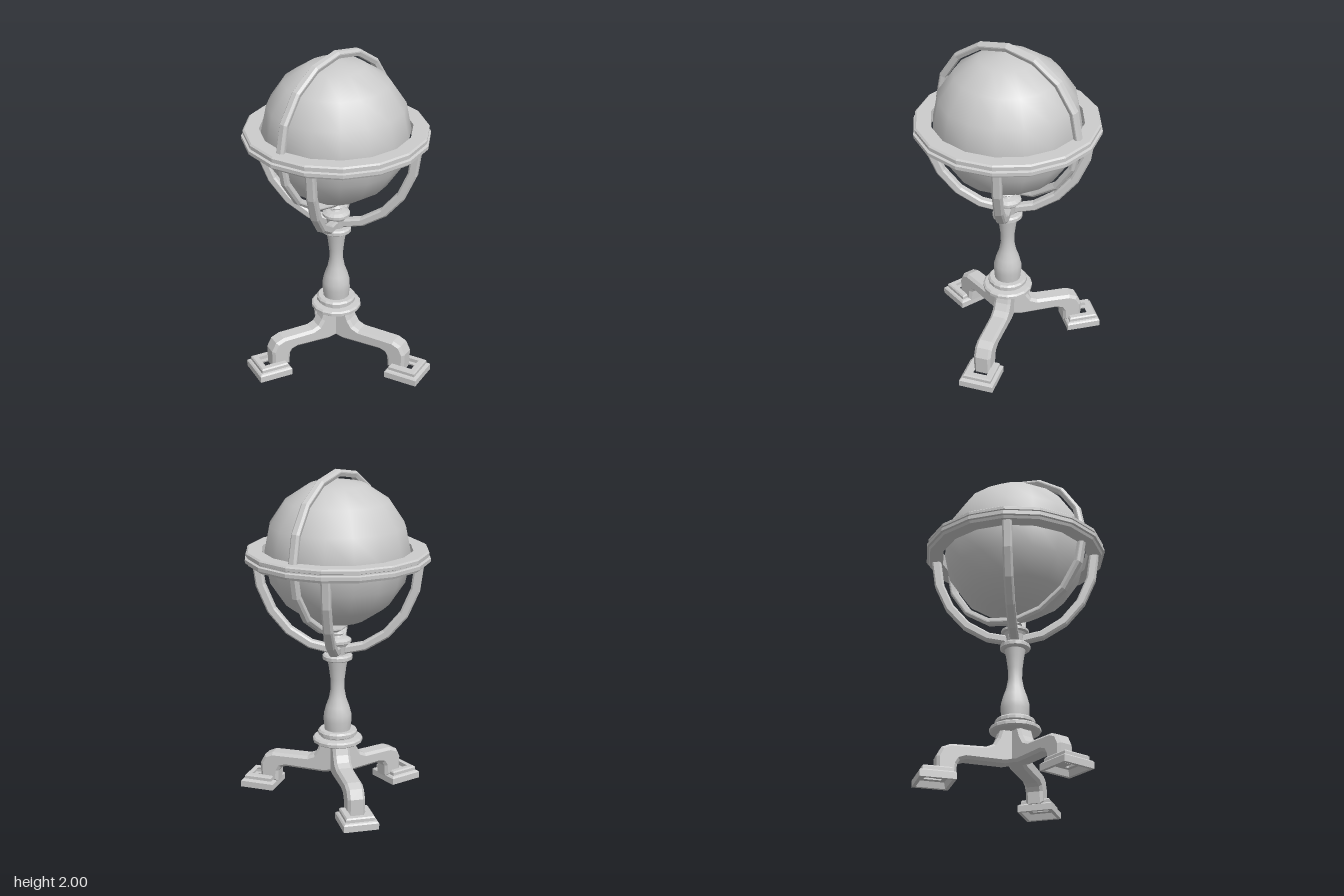
import * as THREE from 'three';

const rad = THREE.MathUtils.degToRad;
const flat = new THREE.MeshStandardMaterial({ color: 0xcccccc, flatShading: true, side: THREE.DoubleSide });
const smooth = new THREE.MeshStandardMaterial({ color: 0xcccccc });
const SIDES = 16;
const MERIDIAN_ANGLE = rad(36.5);
const GLOBE_Y = 1.515;

function lathe(points, sides = SIDES) {
  return new THREE.LatheGeometry(points.map(([r, y]) => new THREE.Vector2(r, y)), sides);
}

function add(parent, name, geometry, material = flat) {
  const mesh = new THREE.Mesh(geometry, material);
  mesh.name = name;
  parent.add(mesh);
  return mesh;
}

// Bar cut from a side outline (radius, height), with chamfered edges, centred on its width
function bar(points, width, chamfer) {
  const shape = new THREE.Shape(points.map(([r, y]) => new THREE.Vector2(r, y)));
  const depth = width - 2 * chamfer;
  const geometry = new THREE.ExtrudeGeometry(shape, {
    depth, bevelThickness: chamfer, bevelSize: chamfer, bevelOffset: -chamfer, bevelSegments: 1,
  });
  return geometry.translate(0, 0, -depth / 2);
}

export function createModel() {
  const model = new THREE.Group();
  model.name = 'globeOnStand';
  const body = new THREE.Group();
  body.name = 'body';
  body.position.set(0.005, 0, 0.02);
  model.add(body);

  // Globe
  const globe = add(body, 'globe', new THREE.SphereGeometry(0.432, 16, 8), smooth);
  globe.position.y = GLOBE_Y;
  globe.rotation.y = MERIDIAN_ANGLE;

  // Upright meridian ring with a stepped rim
  const meridian = add(body, 'meridianRing', lathe([
    [0.445, -0.02], [0.465, -0.027], [0.472, -0.027], [0.485, -0.015],
    [0.485, 0.015], [0.472, 0.027], [0.465, 0.027], [0.445, 0.02], [0.445, -0.02],
  ]).rotateX(Math.PI / 2));
  meridian.position.y = GLOBE_Y;
  meridian.rotation.y = MERIDIAN_ANGLE;

  // Horizontal ring with a moulded edge
  const horizon = add(body, 'horizonRing', lathe([
    [0.443, 1.46], [0.525, 1.46], [0.532, 1.475], [0.545, 1.478], [0.545, 1.498],
    [0.53, 1.503], [0.53, 1.51], [0.537, 1.513], [0.537, 1.53], [0.527, 1.538],
    [0.443, 1.538], [0.443, 1.46],
  ]));
  horizon.rotation.y = -rad(8.2);

  // Four curved arms carrying the horizontal ring
  const arc = (rx, ry, from, to) => Array.from({ length: 6 }, (_, i) => {
    const t = rad(from + (to - from) * i / 5);
    return [rx * Math.cos(t), 1.47 - ry * Math.sin(t)];
  });
  const armGeometry = bar([...arc(0.508, 0.575, 0, 88), ...arc(0.452, 0.525, 88, 0)], 0.055, 0.01);
  for (let i = 0; i < 4; i++) {
    add(body, 'cradleArm', armGeometry).rotation.y = -rad(29 + 90 * i);
  }

  // Turned column: collars are faceted sharply, the baluster is smooth
  add(body, 'finial', lathe([
    [0.05, 0.89], [0.06, 0.95], [0.068, 0.965], [0.082, 0.972], [0.082, 0.987], [0.06, 1.0],
    [0.035, 1.005], [0.03, 1.015], [0.042, 1.025], [0.025, 1.04], [0, 1.045],
  ]));
  add(body, 'upperCollar', lathe([
    [0, 0.86], [0.078, 0.86], [0.09, 0.868], [0.09, 0.888], [0.08, 0.897], [0, 0.897],
  ]));
  add(body, 'column', lathe([
    [0.078, 0.41], [0.08, 0.44], [0.084, 0.48], [0.083, 0.52], [0.07, 0.57], [0.052, 0.62],
    [0.041, 0.68], [0.043, 0.74], [0.052, 0.81], [0.062, 0.865],
  ]), smooth);
  add(body, 'lowerCollar', lathe([
    [0, 0.335], [0.1, 0.335], [0.14, 0.343], [0.15, 0.35], [0.15, 0.367], [0.14, 0.376],
    [0.105, 0.38], [0.105, 0.388], [0.118, 0.395], [0.118, 0.413], [0.108, 0.423], [0, 0.423],
  ]));

  // Three bent legs on hollow square feet
  const s = Math.SQRT2;
  const footGeometry = lathe([
    [0.05, 0.076], [0.08, 0.076], [0.087, 0.068], [0.087, 0.05], [0.097, 0.046],
    [0.105, 0.038], [0.105, 0], [0.085, 0], [0.075, 0.035], [0.05, 0.035],
  ].map(([r, y]) => [r * s, y]), 4).rotateY(Math.PI / 4);
  for (const [angle, reach] of [[40.5, 0.492], [165.5, 0.452], [277.3, 0.468]]) {
    const leg = new THREE.Group();
    leg.name = 'leg';
    leg.rotation.y = -rad(angle);
    body.add(leg);
    const a = reach - 0.06;
    add(leg, 'legBar', bar([
      [0, 0.35], [0.095, 0.35], [0.115, 0.29], [0.14, 0.25], [0.18, 0.232], [a - 0.02, 0.227],
      [a + 0.03, 0.205], [a + 0.058, 0.15], [a + 0.055, 0.04],
      [a - 0.055, 0.04], [a - 0.06, 0.11], [a - 0.075, 0.135], [a - 0.11, 0.147],
      [0.07, 0.143], [0, 0.16],
    ], 0.105, 0.016));
    add(leg, 'foot', footGeometry).position.x = reach;
  }

  return model;
}
